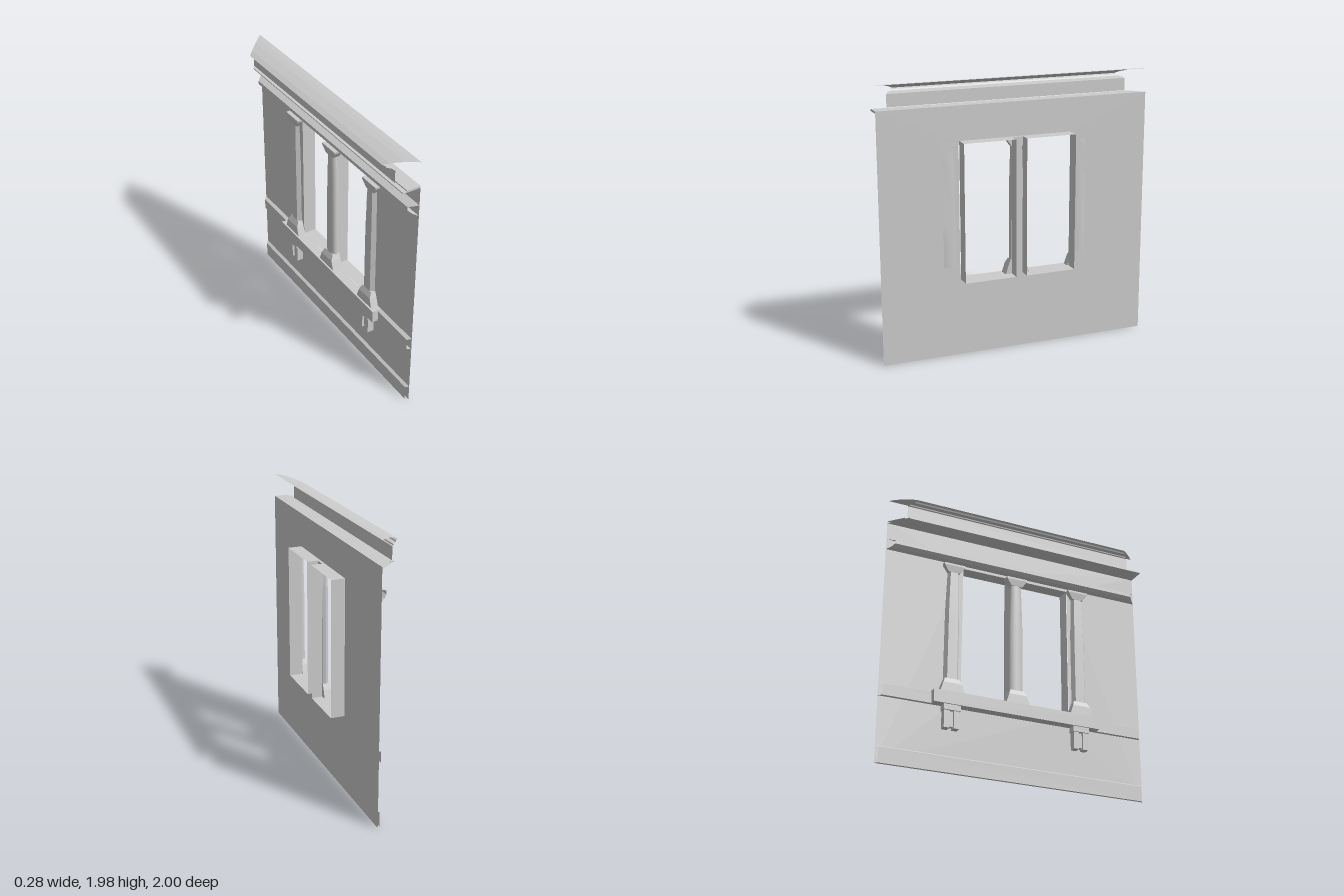
import * as THREE from 'three';
import { toCreasedNormals } from 'three/addons/utils/BufferGeometryUtils.js';

const WALL_X = 0.035;
const mat = new THREE.MeshStandardMaterial({ color: 0xcccccc, side: THREE.DoubleSide });

function add(parent, name, geometry) {
  const mesh = new THREE.Mesh(geometry, mat);
  mesh.name = name;
  parent.add(mesh);
  return mesh;
}

// Box given by its limits on each axis
function box(x0, x1, y0, y1, z0, z1) {
  return new THREE.BoxGeometry(x1 - x0, y1 - y0, z1 - z0)
    .translate((x0 + x1) / 2, (y0 + y1) / 2, (z0 + z1) / 2);
}

// Skin between rings of equal point count; optional closing of rings and caps
function loft(rings, closed, caps) {
  const pos = [];
  const tri = (a, b, c) => pos.push(...a, ...b, ...c);
  const n = rings[0].length;
  for (let r = 0; r < rings.length - 1; r++) {
    for (let i = 0; i < (closed ? n : n - 1); i++) {
      const j = (i + 1) % n;
      const [a, b, c, d] = [rings[r][i], rings[r][j], rings[r + 1][j], rings[r + 1][i]];
      tri(a, c, b);
      tri(a, d, c);
    }
  }
  if (caps) {
    const last = rings[rings.length - 1];
    for (let i = 1; i < n - 1; i++) {
      tri(rings[0][0], rings[0][i], rings[0][i + 1]);
      tri(last[0], last[i + 1], last[i]);
    }
  }
  const g = new THREE.BufferGeometry();
  g.setAttribute('position', new THREE.Float32BufferAttribute(pos, 3));
  g.computeVertexNormals();
  return g;
}

// Moulding: an [x, y] profile run along z, with mitred or square ends
const mitre = (x) => 1 - (WALL_X - x) * 0.95;
function moulding(profile, squareLeft = false) {
  return loft([
    profile.map(([x, y]) => [x, y, squareLeft ? 1 : mitre(x)]),
    profile.map(([x, y]) => [x, y, -mitre(x)]),
  ], false, false);
}

// Horizontal column section: flat back, rounded or chamfered front
function section(y, w, front, back, round) {
  const ring = [[back, y, w * 0.8], [WALL_X - 0.005, y, w]];
  const steps = round ? 10 : 3;
  for (let i = 1; i < steps; i++) {
    const a = (i / steps) * Math.PI;
    ring.push(round
      ? [WALL_X - 0.005 - Math.sin(a) * (WALL_X - 0.005 - front), y, Math.cos(a) * w]
      : [front, y, (i === 1 ? 0.65 : -0.65) * w]);
  }
  ring.push([WALL_X - 0.005, y, -w], [back, y, -w * 0.8]);
  return ring;
}

// Rectangular section for bases and capitals
const rect = (y, w, front, back) =>
  [[back, y, w], [front, y, w], [front, y, -w], [back, y, -w]];

function column(name, z, back, round) {
  const g = new THREE.Group();
  g.name = name;
  const shaft = loft([
    section(0.66, 0.055, 0, back, round),
    section(1.18, 0.054, 0, back, round),
    section(1.35, 0.049, 0.002, back, round),
    section(1.5, 0.043, 0.004, back, round),
  ], true, true);
  add(g, 'shaft', toCreasedNormals(shaft, 0.5));
  add(g, 'base', loft([
    rect(0.562, 0.09, -0.022, back), rect(0.63, 0.068, -0.02, back), rect(0.67, 0.052, 0, back),
  ], true, true));
  add(g, 'capital', loft([
    rect(1.495, 0.043, 0.003, back), rect(1.545, 0.078, -0.006, back), rect(1.56, 0.08, -0.006, back),
  ], true, true));
  g.position.z = z;
  return g;
}

export function createModel() {
  const model = new THREE.Group();
  model.name = 'windowWall';

  // Thin wall with one wide opening
  const outline = new THREE.Shape([[-1, 0], [1, 0], [1, 1.805], [-1, 1.805]]
    .map(([z, y]) => new THREE.Vector2(z, y)));
  outline.holes.push(new THREE.Path([[-0.41, 0.562], [-0.41, 1.56], [0.425, 1.56], [0.425, 0.562]]
    .map(([z, y]) => new THREE.Vector2(z, y))));
  add(model, 'wall', new THREE.ShapeGeometry(outline).rotateY(-Math.PI / 2).translate(WALL_X, 0, 0));

  // Open reveals behind the two lights
  for (const [z0, z1, name] of [[-0.41, -0.04, 'rightReveal'], [0.04, 0.42, 'leftReveal']]) {
    const ring = (x) => [[x, 0.565, z0], [x, 1.56, z0], [x, 1.56, z1], [x, 0.565, z1]];
    add(model, name, loft([ring(WALL_X), ring(0.135)], true, false));
  }
  // Short sill and head joining the reveals behind the middle column
  for (const y of [0.565, 1.56]) {
    add(model, 'revealBridge', loft([
      [[WALL_X, y, -0.04], [WALL_X, y, 0.04]], [[0.055, y, -0.04], [0.055, y, 0.04]],
    ], false, false));
  }

  // Columns
  model.add(column('middleColumn', 0, 0.055, true));
  model.add(column('leftColumn', 0.5, WALL_X, false));
  model.add(column('rightColumn', -0.49, WALL_X, false));

  // Sill with fluted brackets
  add(model, 'sill', box(-0.035, WALL_X, 0.47, 0.562, -0.63, 0.63));
  for (const z of [-0.49, 0.49]) {
    const bracket = new THREE.Group();
    bracket.name = 'bracket';
    add(bracket, 'bracketCap', box(-0.025, WALL_X, 0.43, 0.47, -0.062, 0.062));
    add(bracket, 'bracketCore', box(0.002, WALL_X, 0.32, 0.43, -0.05, 0.05));
    for (const s of [-1, 1]) {
      add(bracket, 'bracketRib', box(-0.015, WALL_X, 0.305, 0.43, s * 0.036 - 0.02, s * 0.036 + 0.02));
    }
    bracket.position.z = z;
    model.add(bracket);
  }

  // Horizontal bands on the outer face
  add(model, 'baseBand', moulding([[WALL_X, 0], [0.015, 0], [0.015, 0.11], [WALL_X, 0.122]]));
  add(model, 'sillBand', moulding([[WALL_X, 0.47], [0.01, 0.47], [0.01, 0.55], [WALL_X, 0.562]]));
  add(model, 'upperMoulding', moulding(
    [[WALL_X, 1.58], [0.005, 1.59], [-0.018, 1.61], [-0.018, 1.635], [WALL_X, 1.66]]));

  // Stepped ledge, square and capped at the left end
  const ledge = [[WALL_X, 1.79], [-0.095, 1.79], [-0.095, 1.797], [-0.065, 1.797], [-0.065, 1.805], [WALL_X, 1.805]];
  add(model, 'ledge', moulding(ledge, true));
  add(model, 'ledgeEnd', new THREE.ShapeGeometry(
    new THREE.Shape(ledge.map(([x, y]) => new THREE.Vector2(x, y)))).translate(0, 0, 1));

  // Frieze, cornice and sloping top
  add(model, 'cornice', moulding([
    [-0.08, 1.805], [-0.08, 1.895], [-0.09, 1.897], [-0.092, 1.905], [-0.12, 1.908],
    [-0.125, 1.918], [-0.14, 1.925],
  ]));
  add(model, 'corniceRoof', moulding([[-0.14, 1.925], [-0.105, 1.943], [-0.04, 1.964], [0, 1.972], [WALL_X, 1.975]]));
  return model;
}
